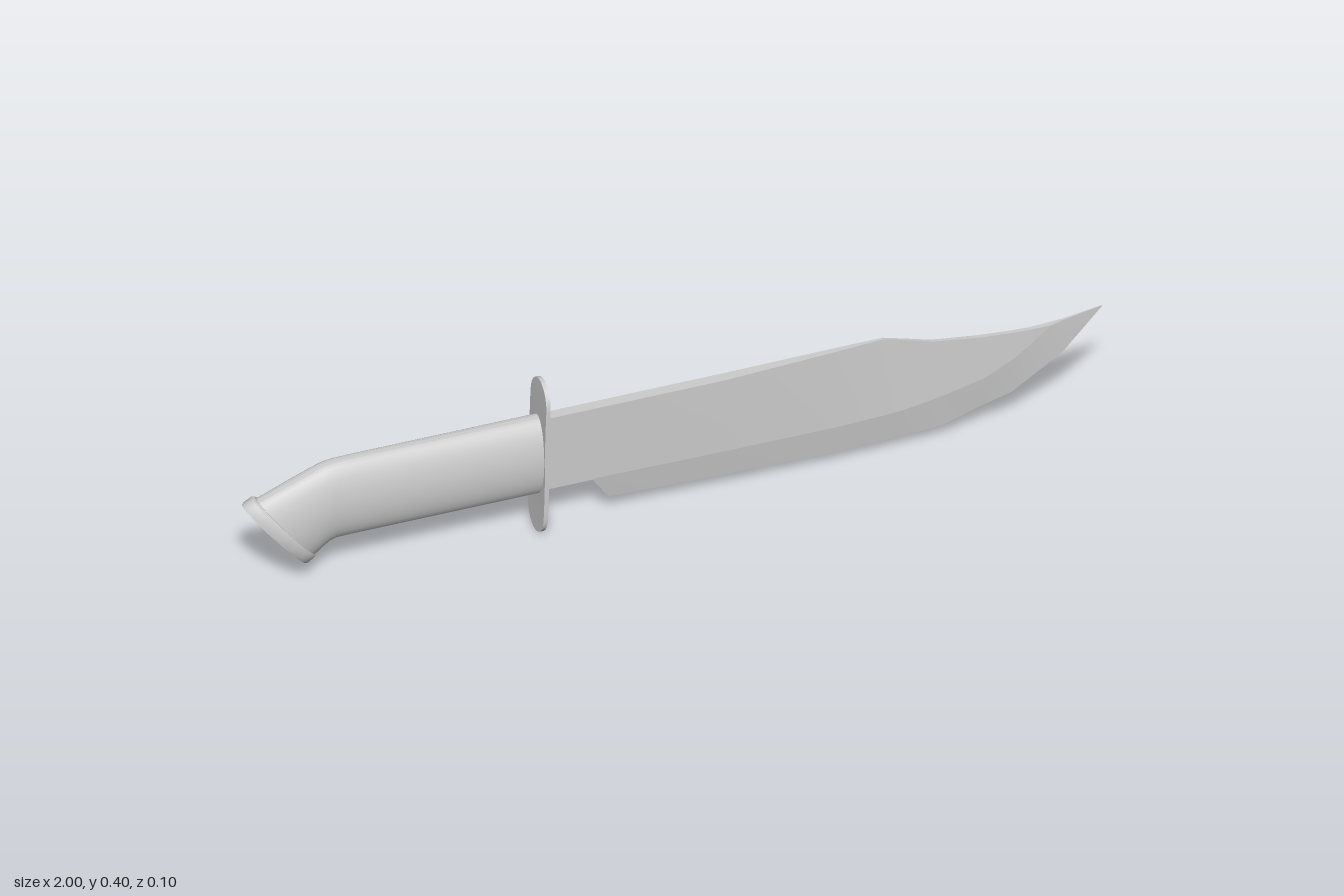
import * as THREE from 'three';
import { toCreasedNormals } from 'three/addons/utils/BufferGeometryUtils.js';

const material = new THREE.MeshStandardMaterial({ color: 0xcccccc });

// Skins a row of equal-length rings, closes both ends; rings run counter-clockwise seen from the last one
function loft(name, rings, crease) {
  const n = rings[0].length;
  const points = rings.flat();
  const index = [];
  const centre = (ring) => ring.reduce((s, p) => s.add(p), new THREE.Vector3()).divideScalar(n);
  const first = points.length;
  points.push(centre(rings[0]), centre(rings[rings.length - 1]));
  const lastRow = (rings.length - 1) * n;
  for (let i = 0; i < n; i++) {
    const j = (i + 1) % n;
    for (let row = 0; row < lastRow; row += n) {
      index.push(row + i, row + j, row + n + j, row + i, row + n + j, row + n + i);
    }
    index.push(first, j, i, first + 1, lastRow + i, lastRow + j);
  }
  const geometry = new THREE.BufferGeometry().setFromPoints(points);
  geometry.setIndex(index);
  const mesh = new THREE.Mesh(toCreasedNormals(geometry, crease), material);
  mesh.name = name;
  return mesh;
}

// Oval ring between a top point and a bottom point, with a half width along z
function oval([tx, ty, bx, by, w], sides = 32) {
  return Array.from({ length: sides }, (_, i) => {
    const a = (i / sides) * Math.PI * 2;
    const k = (1 + Math.cos(a)) / 2;
    return new THREE.Vector3(bx + (tx - bx) * k, by + (ty - by) * k, w * Math.sin(a));
  });
}

function createBlade() {
  // x, then height and half thickness of the spine, bevel line and cutting edge
  const stations = [
    [-0.31, 0.3, 0.013, 0.11, 0.013, 0.108, 0.013],
    [-0.19, 0.3, 0.013, 0.11, 0.013, 0.108, 0.013],
    [-0.15, 0.3, 0.013, 0.11, 0.013, 0.045, 0.003],
    [0.12, 0.3, 0.013, 0.107, 0.013, 0.036, 0.003],
    [0.38, 0.307, 0.007, 0.106, 0.013, 0.03, 0.003],
    [0.49, 0.31, 0.003, 0.11, 0.013, 0.034, 0.003],
    [0.54, 0.295, 0.003, 0.114, 0.013, 0.036, 0.003],
    [0.6, 0.276, 0.004, 0.123, 0.012, 0.039, 0.003],
    [0.63, 0.271, 0.004, 0.129, 0.012, 0.042, 0.003],
    [0.72, 0.258, 0.005, 0.15, 0.011, 0.071, 0.002],
    [0.79, 0.252, 0.005, 0.183, 0.009, 0.09, 0.002],
    [0.83, 0.25, 0.005, 0.21, 0.007, 0.117, 0.002],
    [0.88, 0.253, 0.004, 0.25, 0.005, 0.15, 0.002],
    [0.91, 0.256, 0.003, 0.254, 0.003, 0.17, 0.001],
    [1, 0.271, 0.0005, 0.27, 0.0005, 0.269, 0.0005],
  ];
  const rings = stations.map(([x, sy, st, by, bt, ey, et]) =>
    [[sy, -st], [sy, st], [by, bt], [ey, et], [ey, -et], [by, -bt]]
      .map(([y, z]) => new THREE.Vector3(x, y, z)));
  return loft('blade', rings, 0.08);
}

function createGuard() {
  // Thin round-ended plate, its ends leaning in opposite directions
  const rings = [];
  const half = 0.2, endHeight = 0.055, width = 0.05, thickness = 0.005;
  for (let i = 0; i <= 28; i++) {
    const s = -Math.cos((i / 28) * Math.PI);
    const y = half + s * half;
    const cut = Math.max(0, Math.abs(s) * half - (half - endHeight)) / endHeight;
    const w = Math.max(0.006, width * Math.sqrt(Math.max(0, 1 - cut * cut)));
    const x = -0.31 + 0.006 * s * Math.abs(s);
    rings.push([[-1, -1], [-1, 1], [1, 1], [1, -1]]
      .map(([dx, dz]) => new THREE.Vector3(x + dx * thickness, y, dz * w)));
  }
  return loft('guard', rings, 0.6);
}

export function createModel() {
  const group = new THREE.Group();
  group.name = 'knife';

  // Straight grip bending down towards the butt
  const grip = [
    [-0.98, 0.234, -0.84, 0.062, 0.046],
    [-0.9, 0.268, -0.818, 0.082, 0.046],
    [-0.84, 0.292, -0.803, 0.094, 0.046],
    [-0.815, 0.301, -0.79, 0.099, 0.046],
    [-0.79, 0.305, -0.77, 0.1, 0.046],
    [-0.74, 0.306, -0.73, 0.1, 0.046],
    [-0.31, 0.306, -0.31, 0.1, 0.046],
  ];
  group.add(loft('handle', grip.map((s) => oval(s)), 0.7));

  // Flared disc closing the slanted end
  const cap = [
    [-1, 0.231, -0.855, 0.049, 0.05],
    [-0.997, 0.235, -0.85, 0.05, 0.052],
    [-0.978, 0.246, -0.835, 0.061, 0.052],
    [-0.97, 0.244, -0.833, 0.066, 0.049],
  ];
  group.add(loft('pommelCap', cap.map((s) => oval(s)), 0.6));

  group.add(createGuard(), createBlade());
  return group;
}
